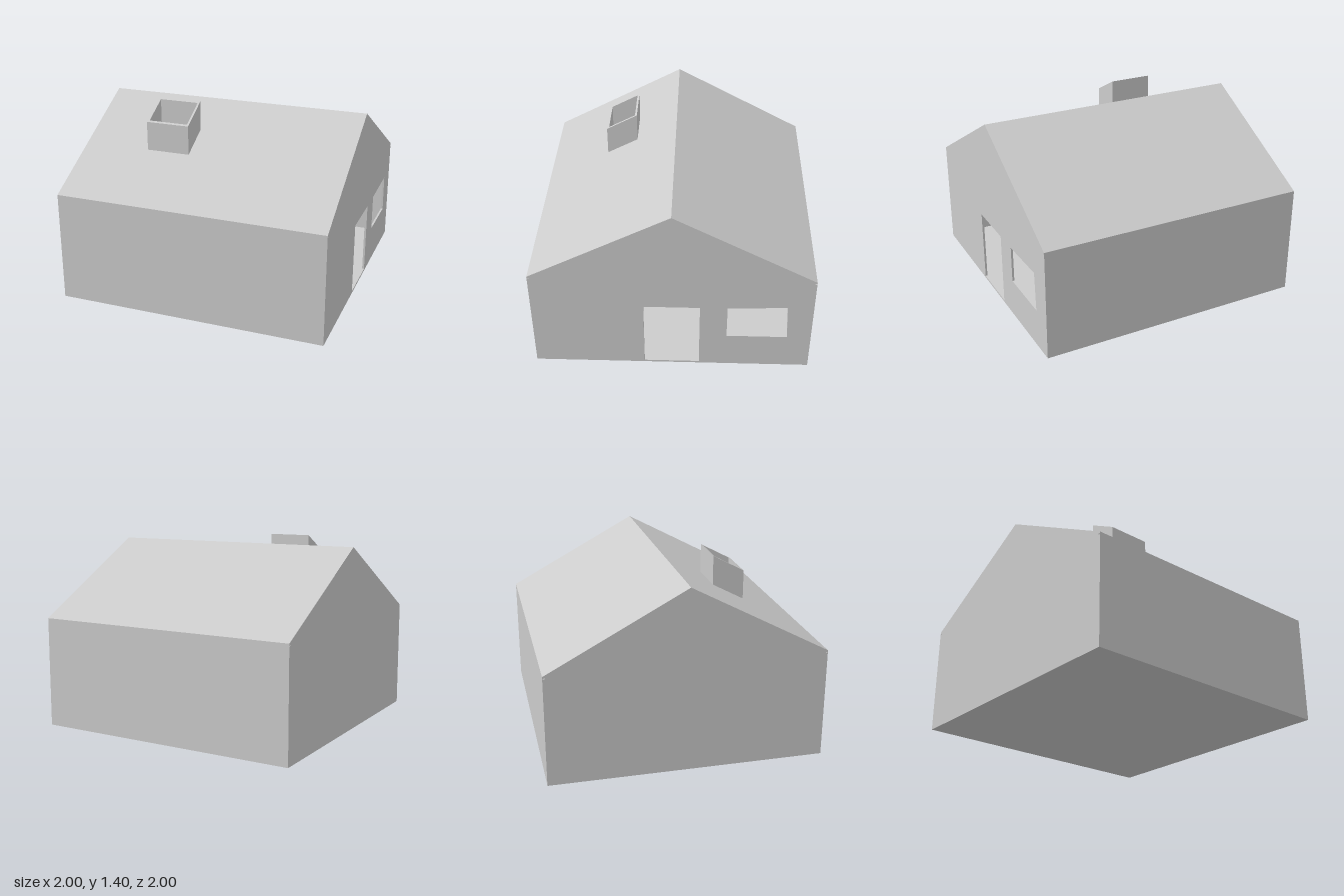
import * as THREE from 'three';

const T = 0.015;        // wall thickness
const ROOF_T = 0.017;   // roof thickness, measured vertically
const EAVE = 0.815, RIDGE = 1.353;
const roofY = z => RIDGE - (RIDGE - EAVE) * Math.abs(z);

const material = new THREE.MeshStandardMaterial({ color: 0xcccccc, flatShading: true, side: THREE.DoubleSide });

const points = list => list.map(([x, y]) => new THREE.Vector2(x, y));
const rect = (x0, x1, y0, y1) => [[x0, y0], [x1, y0], [x1, y1], [x0, y1]];

// Flat panel from an outline with optional openings
function panel(outline, holes, depth) {
  const shape = new THREE.Shape(points(outline));
  holes.forEach(h => shape.holes.push(new THREE.Path(points(h))));
  return new THREE.ExtrudeGeometry(shape, { depth, bevelEnabled: false });
}

// Plan outline (x, z) extruded downwards and sheared to follow the roof slope
function slopedPanel(outline, holes, lift, depth) {
  const geometry = panel(outline, holes, depth);
  const p = geometry.attributes.position;
  for (let i = 0; i < p.count; i++) {
    const z = p.getY(i);
    p.setXYZ(i, p.getX(i), roofY(z) + lift - p.getZ(i), z);
  }
  geometry.computeVertexNormals();
  return geometry;
}

export function createModel() {
  const house = new THREE.Group();
  house.name = 'house';
  const add = (name, geometry, x = 0, y = 0, z = 0) => {
    const mesh = new THREE.Mesh(geometry, material);
    mesh.name = name;
    mesh.position.set(x, y, z);
    house.add(mesh);
  };

  // Floor and the two long walls
  const wallH = EAVE - ROOF_T;
  add('floor', new THREE.BoxGeometry(2 - 2 * T, T, 2 - 2 * T), 0, T / 2, 0);
  add('frontWall', new THREE.BoxGeometry(2, wallH, T), 0, wallH / 2, 1 - T / 2);
  add('backWall', new THREE.BoxGeometry(2, wallH, T), 0, wallH / 2, -1 + T / 2);

  // Gable walls; the one at +x has a door and a slightly skewed window
  const e = 1 - T, top = roofY(e) - ROOF_T;
  const gable = [[-e, 0], [e, 0], [e, top], [0, RIDGE - ROOF_T], [-e, top]];
  const door = rect(-0.2, 0.2, T, 0.555);
  const windowHole = [[0.395, 0.285], [0.83, 0.285], [0.815, 0.572], [0.395, 0.557]];
  add('doorGable', panel(gable, [door, windowHole], T).rotateY(Math.PI / 2), 1 - T);
  add('plainGable', panel(gable, [], T).rotateY(Math.PI / 2), -1);

  // Roof slopes, the front one open under the chimney
  const flue = rect(-0.5, -0.175, 0.3, 0.53);
  const flueInner = rect(-0.5 + T, -0.175 - T, 0.3 + T, 0.53 - T);
  add('frontRoof', slopedPanel(rect(-1, 1, 0, 1), [flue], 0, ROOF_T));
  add('backRoof', slopedPanel(rect(-1, 1, -1, 0), [], 0, ROOF_T));

  // Hollow chimney with its rim parallel to the roof
  const lift = 0.213;
  add('chimney', slopedPanel(flue, [flueInner], lift, lift + ROOF_T));

  return house;
}
